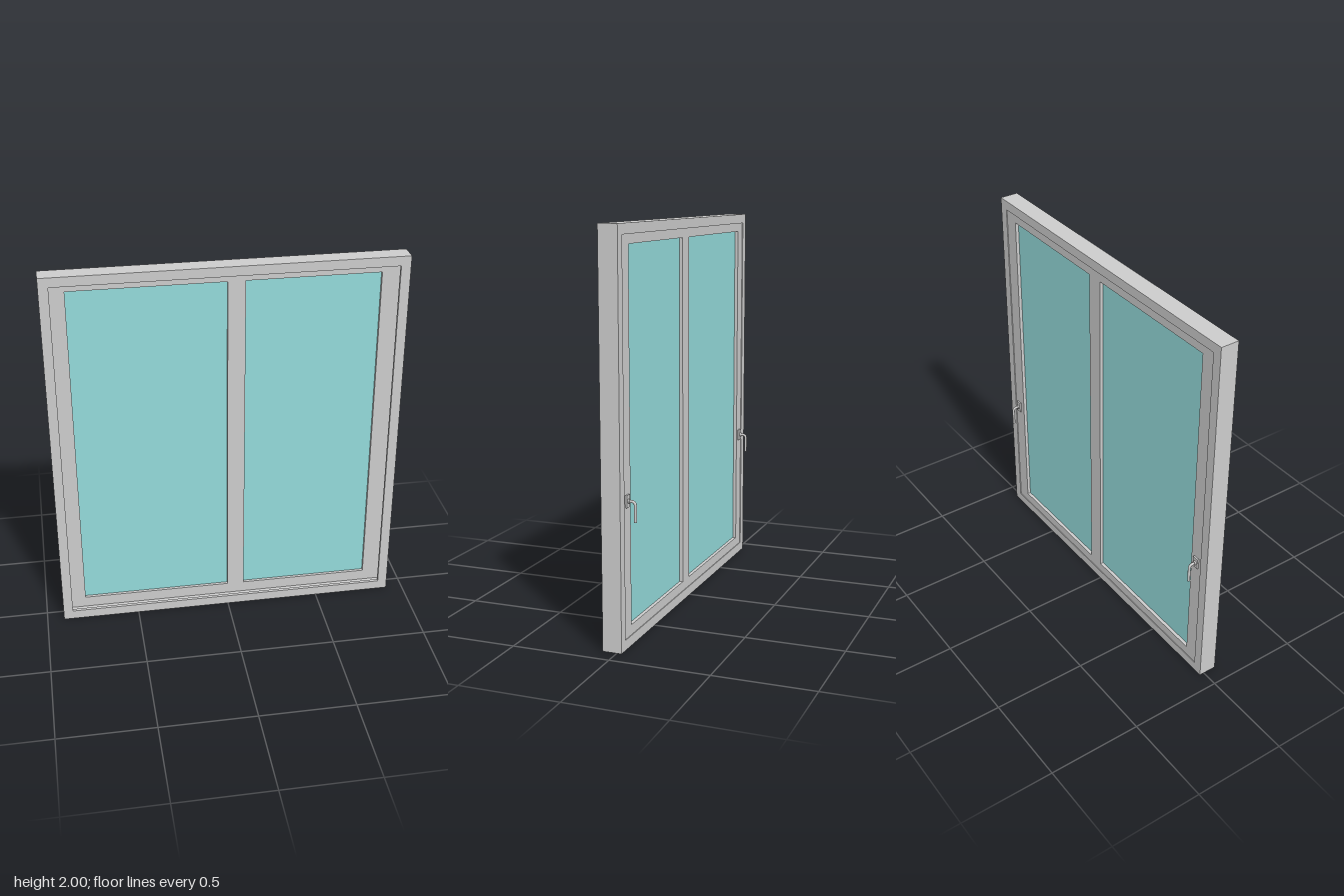
import * as THREE from 'three';

const grey = new THREE.MeshStandardMaterial({ color: 0xcccccc });
const teal = new THREE.MeshStandardMaterial({ color: 0x93dada });

// Adds a closed rectangle to a Shape or Path
function rect(path, x0, y0, x1, y1) {
  path.moveTo(x0, y0);
  path.lineTo(x1, y0);
  path.lineTo(x1, y1);
  path.lineTo(x0, y1);
  path.closePath();
  return path;
}

// Flat panel with rectangular openings, between z0 and z1
function panel(name, outer, holes, z0, z1) {
  const shape = rect(new THREE.Shape(), ...outer);
  for (const h of holes) shape.holes.push(rect(new THREE.Path(), ...h));
  const geo = new THREE.ExtrudeGeometry(shape, { depth: z1 - z0, bevelEnabled: false });
  geo.translate(0, 0, z0);
  const mesh = new THREE.Mesh(geo, grey);
  mesh.name = name;
  return mesh;
}

function box(name, w, h, d, x, y, z, material = grey) {
  const mesh = new THREE.Mesh(new THREE.BoxGeometry(w, h, d), material);
  mesh.position.set(x, y, z);
  mesh.name = name;
  return mesh;
}

// Backplate, collar and bent lever hanging down
function handle(name, x) {
  const group = new THREE.Group();
  group.name = name;
  group.add(box('handlePlate', 0.034, 0.06, 0.01, 0, 0, -0.025));

  const collar = new THREE.Mesh(new THREE.CylinderGeometry(0.011, 0.011, 0.008, 20), grey);
  collar.rotation.x = Math.PI / 2;
  collar.position.z = -0.034;
  collar.name = 'handleCollar';
  group.add(collar);

  const path = new THREE.CurvePath();
  const v = (y, z) => new THREE.Vector3(0, y, z);
  path.add(new THREE.LineCurve3(v(0, -0.03), v(0, -0.045)));
  path.add(new THREE.QuadraticBezierCurve3(v(0, -0.045), v(0, -0.065), v(-0.02, -0.065)));
  path.add(new THREE.LineCurve3(v(-0.02, -0.065), v(-0.098, -0.065)));
  const lever = new THREE.Mesh(new THREE.TubeGeometry(path, 40, 0.007, 12), grey);
  lever.name = 'handleLever';
  group.add(lever);

  const tip = new THREE.Mesh(new THREE.CylinderGeometry(0.007, 0.007, 0.004, 12), grey);
  tip.position.set(0, -0.098, -0.065);
  tip.name = 'handleTip';
  group.add(tip);

  group.position.set(x, 0.72, 0);
  return group;
}

export function createModel() {
  const model = new THREE.Group();
  model.name = 'window';

  // Outer frame in layers, with a shallow groove around the front reveal
  const outer = [-0.91, 0, 0.91, 2];
  const opening = [-0.86, 0.05, 0.86, 1.95];
  const groove = [-0.87, 0.04, 0.87, 1.96];
  const frame = new THREE.Group();
  frame.name = 'outerFrame';
  frame.add(panel('frameFront', outer, [opening], 0.055, 0.072));
  frame.add(panel('frameGroove', outer, [groove], 0.025, 0.055));
  frame.add(panel('frameBack', outer, [opening], -0.025, 0.025));
  model.add(frame);

  // Inner sash with an off-centre mullion and two panes
  const panes = [[-0.785, 0.1, 0.005, 1.905], [0.095, 0.1, 0.78, 1.905]];
  model.add(panel('sash', opening, panes, -0.021, 0.025));
  panes.forEach(([x0, y0, x1, y1], i) => {
    model.add(box(i ? 'leftGlass' : 'rightGlass', x1 - x0, y1 - y0, 0.012,
      (x0 + x1) / 2, (y0 + y1) / 2, 0.003, teal));
  });

  // Handles on the back of the outer stiles
  model.add(handle('rightHandle', -0.825), handle('leftHandle', 0.825));
  return model;
}
